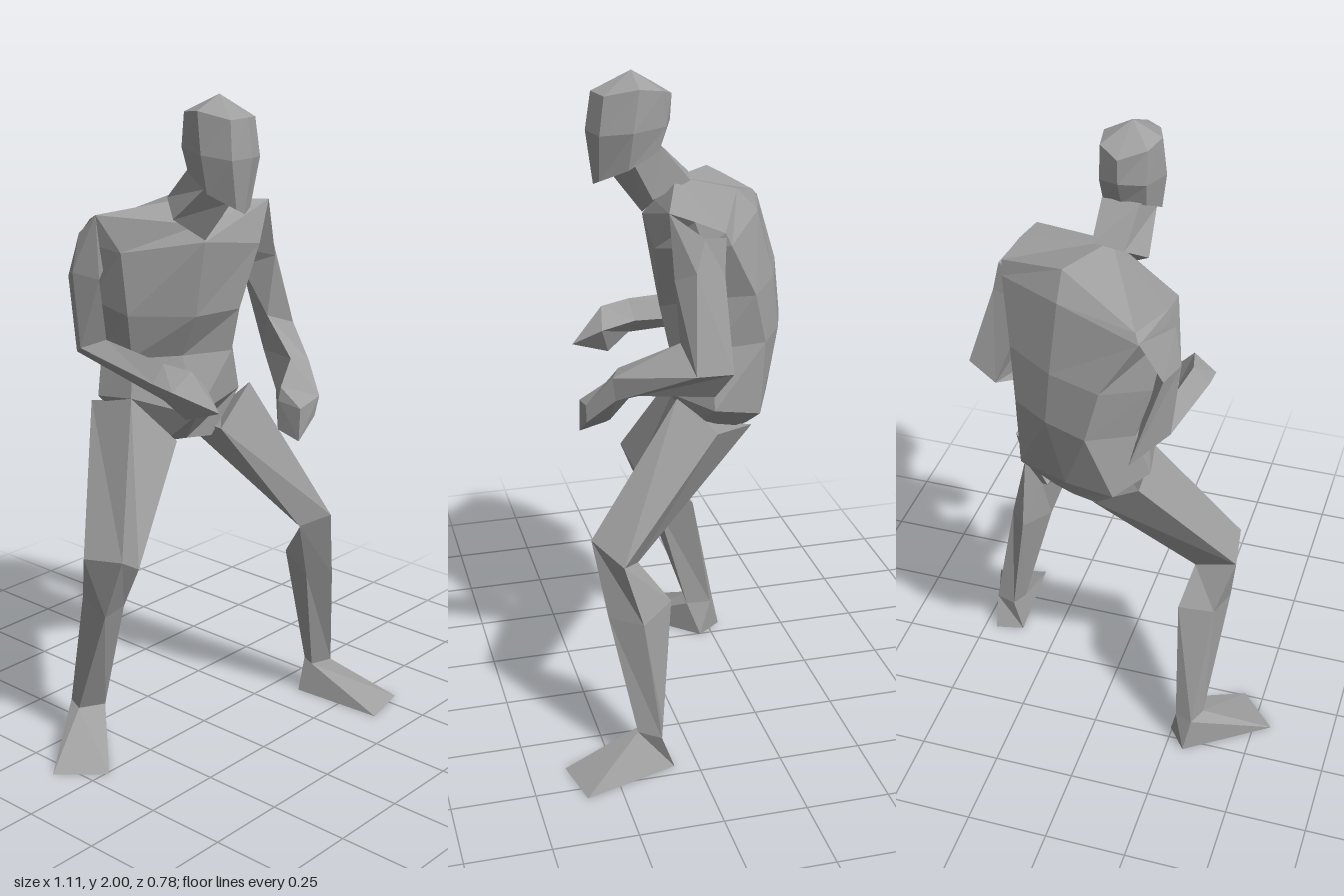
import * as THREE from 'three';

// Skin a list of cross-sections (rings of [x, y, z]) and close both ends.
// An end closes at its ring's centre, or at the given tip point.
function loft(name, material, rings, { tip } = {}) {
  const n = rings[0].length;
  const tris = [];
  const centre = (r) => [0, 1, 2].map((k) => r.reduce((s, p) => s + p[k], 0) / n);
  const first = rings[0], last = rings[rings.length - 1];
  const c0 = centre(first), c1 = tip || centre(last);
  for (let i = 0; i < n; i++) {
    const j = (i + 1) % n;
    for (let r = 0; r + 1 < rings.length; r++) {
      const a = rings[r][i], b = rings[r][j], c = rings[r + 1][j], d = rings[r + 1][i];
      tris.push([a, b, c], [a, c, d]);
    }
    tris.push([c0, first[j], first[i]], [c1, last[i], last[j]]);
  }
  // Turn the faces outward whichever way the rings run
  let volume = 0;
  const [A, B, C] = [new THREE.Vector3(), new THREE.Vector3(), new THREE.Vector3()];
  for (const [a, b, c] of tris) volume += A.fromArray(a).dot(B.fromArray(b).cross(C.fromArray(c)));
  if (volume < 0) tris.forEach((t) => t.reverse());
  const geometry = new THREE.BufferGeometry();
  geometry.setAttribute('position', new THREE.Float32BufferAttribute(tris.flat(2), 3));
  geometry.computeVertexNormals();
  const mesh = new THREE.Mesh(geometry, material);
  mesh.name = name;
  return mesh;
}

export function createModel() {
  const grey = new THREE.MeshStandardMaterial({ color: 0xa0a0a0, flatShading: true });
  grey.name = 'plain grey';
  const model = new THREE.Group();
  model.name = 'crouchingFigure';
  const add = (name, rings, options) => model.add(loft(name, grey, rings, options));

  // Pelvis and chest: rings run front right, front, front left, left, back left, back, back right, right
  const waist = [[-.145, 1.21, -.16], [-.02, 1.21, -.07], [.125, 1.21, 0], [.23, 1.24, -.1],
    [.225, 1.245, -.26], [.11, 1.245, -.335], [-.02, 1.24, -.38], [-.14, 1.22, -.29]];
  add('pelvis', [
    [[-.035, .93, -.13], [.03, .93, -.1], [.1, .93, -.06], [.14, .93, -.14],
      [.12, .95, -.24], [.05, .96, -.28], [-.03, .97, -.31], [-.06, .94, -.22]],
    [[-.16, 1.09, -.15], [-.01, 1.03, -.02], [.17, 1.08, -.01], [.26, 1.06, -.1],
      [.22, 1.02, -.25], [.06, 1.03, -.32], [-.09, 1.03, -.345], [-.18, 1.08, -.27]],
    waist,
  ]);
  add('chest', [
    waist,
    [[-.18, 1.35, -.14], [-.035, 1.345, 0], [.125, 1.345, .03], [.24, 1.4, -.06],
      [.25, 1.4, -.22], [.1, 1.4, -.32], [-.06, 1.4, -.375], [-.19, 1.38, -.28]],
    [[-.195, 1.54, -.15], [-.04, 1.575, .04], [.18, 1.54, .06], [.3, 1.57, -.05],
      [.3, 1.57, -.13], [.09, 1.6, -.27], [-.165, 1.565, -.35], [-.23, 1.56, -.25]],
    [[-.235, 1.65, -.21], [-.03, 1.62, .01], [.25, 1.66, .035], [.28, 1.64, -.03],
      [.305, 1.61, -.11], [.095, 1.67, -.205], [-.15, 1.59, -.33], [-.22, 1.63, -.25]],
  ], { tip: [0, 1.69, -.05] });

  // Neck and head
  add('neck', [
    [[-.1, 1.64, -.03], [-.04, 1.58, .04], [.05, 1.64, .03], [.05, 1.69, -.08], [-.05, 1.69, -.1]],
    [[-.09, 1.74, .08], [-.03, 1.7, .13], [.04, 1.74, .08], [.045, 1.79, 0], [-.065, 1.79, 0]],
  ]);
  add('head', [
    [[-.06, 1.69, .175], [-.035, 1.675, .185], [0, 1.69, .175], [.05, 1.73, .1],
      [.045, 1.78, .01], [-.01, 1.78, 0], [-.08, 1.78, .01], [-.1, 1.73, .1]],
    [[-.085, 1.83, .18], [-.03, 1.835, .207], [.035, 1.83, .18], [.07, 1.84, .09],
      [.05, 1.85, -.01], [-.01, 1.855, -.035], [-.085, 1.85, -.01], [-.115, 1.84, .09]],
    [[-.075, 1.94, .165], [-.03, 1.945, .19], [.03, 1.94, .165], [.06, 1.96, .07],
      [.05, 1.95, 0], [-.01, 1.93, -.04], [-.085, 1.95, 0], [-.107, 1.96, .07]],
  ], { tip: [-.02, 2, .075] });

  // Right arm: rings run front, outer, back, inner
  const elbowR = [[-.2, 1.27, -.21], [-.24, 1.24, -.28], [-.15, 1.19, -.39], [-.14, 1.2, -.27]];
  const wristR = [[-.22, 1.25, .04], [-.27, 1.2, .045], [-.22, 1.14, .04], [-.18, 1.19, .03]];
  add('rightUpperArm', [
    [[-.235, 1.65, -.21], [-.245, 1.59, -.27], [-.165, 1.57, -.35], [-.16, 1.5, -.24]],
    [[-.235, 1.46, -.2], [-.265, 1.475, -.28], [-.23, 1.45, -.335], [-.19, 1.44, -.26]],
    elbowR,
  ]);
  add('rightForearm', [elbowR, wristR]);
  add('rightHand', [
    wristR,
    [[-.2, 1.24, .13], [-.27, 1.19, .12], [-.2, 1.09, .11], [-.145, 1.18, .14]],
  ], { tip: [-.185, 1.13, .225] });

  // Left arm
  const elbowL = [[.28, 1.29, .01], [.42, 1.24, 0], [.425, 1.24, -.105], [.36, 1.15, -.07]];
  const wristL = [[.2, 1.2, .17], [.25, 1.19, .2], [.25, 1.12, .19], [.18, 1.1, .13]];
  add('leftUpperArm', [
    [[.25, 1.66, .035], [.31, 1.6, -.05], [.315, 1.6, -.11], [.23, 1.5, -.06]],
    [[.29, 1.48, .03], [.34, 1.51, -.02], [.34, 1.5, -.1], [.25, 1.44, -.07]],
    elbowL,
  ]);
  add('leftForearm', [elbowL, wristL]);
  add('leftHand', [
    wristL,
    [[.13, 1.13, .19], [.215, 1.1, .27], [.2, 1.04, .265], [.13, 1.01, .18]],
    [[.12, 1.09, .19], [.125, 1.08, .27], [.12, .98, .27], [.12, 1, .19]],
  ]);

  // Right leg: rings run front outer, front inner, back inner, back outer
  const kneeR = [[-.39, .68, .03], [-.29, .62, 0], [-.28, .62, -.1], [-.41, .66, -.11]];
  const ankleR = [[-.35, .11, -.21], [-.275, .11, -.17], [-.27, .11, -.25], [-.325, .11, -.27]];
  add('rightThigh', [
    [[-.16, 1.09, -.15], [-.035, .94, -.08], [-.02, .97, -.31], [-.16, 1.05, -.32]],
    kneeR,
  ]);
  add('rightShin', [
    kneeR,
    [[-.385, .48, -.05], [-.285, .48, -.07], [-.25, .505, -.18], [-.36, .505, -.17]],
    ankleR,
  ]);
  add('rightFoot', [ankleR, [[-.555, 0, -.115], [-.44, 0, .01], [-.245, 0, -.21], [-.305, 0, -.29]]]);

  // Left leg: rings run front inner, front outer, back outer, back inner
  const kneeL = [[.22, .66, .2], [.28, .7, .275], [.38, .65, .2], [.3, .62, .14]];
  const ankleL = [[.375, .11, .14], [.43, .12, .175], [.465, .11, .11], [.4, .11, .09]];
  add('leftThigh', [
    [[.1, .96, -.02], [.21, 1.09, 0], [.29, 1, -.1], [.14, .95, -.25]],
    kneeL,
  ]);
  add('leftShin', [
    kneeL,
    [[.285, .47, .18], [.34, .47, .24], [.41, .47, .15], [.34, .5, .05]],
    ankleL,
  ]);
  add('leftFoot', [ankleL, [[.39, 0, .39], [.55, 0, .355], [.46, 0, .07], [.37, 0, .09]]]);

  return model;
}
